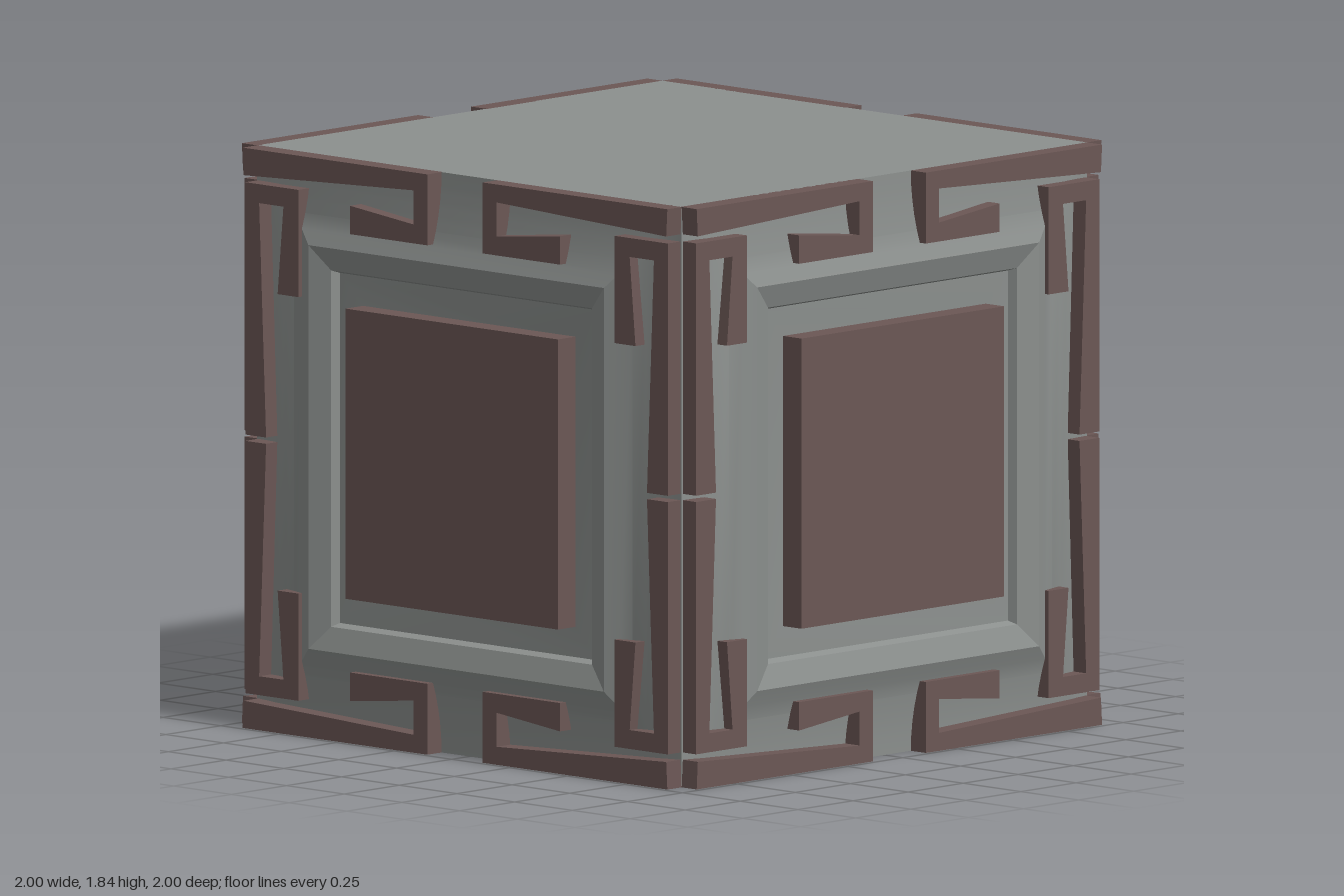
import * as THREE from 'three';
import { toCreasedNormals } from 'three/addons/utils/BufferGeometryUtils.js';

const HALF = 0.92; // half the side of the cube
const stone = new THREE.MeshStandardMaterial({ color: 0x8c908e });
const trim = new THREE.MeshStandardMaterial({ color: 0x6b5755, flatShading: true });

function part(name, geometry, material) {
  const mesh = new THREE.Mesh(geometry, material);
  mesh.name = name;
  return mesh;
}

// Square surface around the z axis from [half width, height] pairs
function squareLoft(profile) {
  const points = profile.map(([r, h]) => new THREE.Vector2(r * Math.SQRT2, h));
  const geometry = new THREE.LatheGeometry(points, 4, Math.PI / 4).rotateX(Math.PI / 2);
  return toCreasedNormals(geometry, 0.4);
}

// Hook outlines for the upper right quarter, measured from the face centre
const edgeHook = [[0.12, 0.92], [0.12, 0.695], [0.455, 0.695], [0.455, 0.785],
  [0.18, 0.755], [0.18, 0.863], [0.915, 0.833], [0.92, 0.92]];
const cornerHook = [[0.915, 0.01], [0.915, 0.81], [0.685, 0.81], [0.685, 0.47],
  [0.775, 0.47], [0.75, 0.75], [0.855, 0.75], [0.825, 0.01]];

function hook(name, outline, sx, sy, top) {
  const shape = new THREE.Shape(outline.map(([x, y]) => new THREE.Vector2(x * sx, y * sy)));
  const base = 0.915;
  const geometry = new THREE.ExtrudeGeometry(shape, { depth: top - base, bevelEnabled: false });
  return part(name, geometry.translate(0, 0, base), trim);
}

function createFace() {
  const face = new THREE.Group();
  face.name = 'sideFace';

  // Wall sweeping up to a raised frame, then stepping down to the panel
  const profile = [];
  for (let i = 0; i <= 6; i++) {
    const t = i / 6;
    profile.push([HALF - 0.28 * t, HALF + 0.06 * t * t]);
  }
  profile.push([0.565, 0.955], [0.555, 0.925], [0.45, 0.92]);
  face.add(part('wallAndFrame', squareLoft(profile), stone));

  // Raised centre panel
  const panel = new THREE.BoxGeometry(0.92, 0.92, 0.1).translate(0, 0, 0.95);
  face.add(part('centrePanel', panel, trim));

  // Hooked trim, mirrored into the four quarters
  for (const sx of [-1, 1]) {
    for (const sy of [-1, 1]) {
      face.add(hook('edgeHook', edgeHook, sx, sy, 0.985));
      face.add(hook('cornerHook', cornerHook, sx, sy, 0.978));
    }
  }
  return face;
}

export function createModel() {
  const model = new THREE.Group();
  model.name = 'ornateCube';

  // Four equal decorated sides
  for (let i = 0; i < 4; i++) {
    const face = createFace();
    face.rotation.y = i * Math.PI / 2;
    face.position.y = HALF;
    model.add(face);
  }

  // Plain top and bottom
  for (const s of [-1, 1]) {
    const cap = part(s > 0 ? 'top' : 'bottom', new THREE.PlaneGeometry(2 * HALF, 2 * HALF), stone);
    cap.rotation.x = -s * Math.PI / 2;
    cap.position.y = HALF + s * HALF;
    model.add(cap);
  }
  return model;
}
